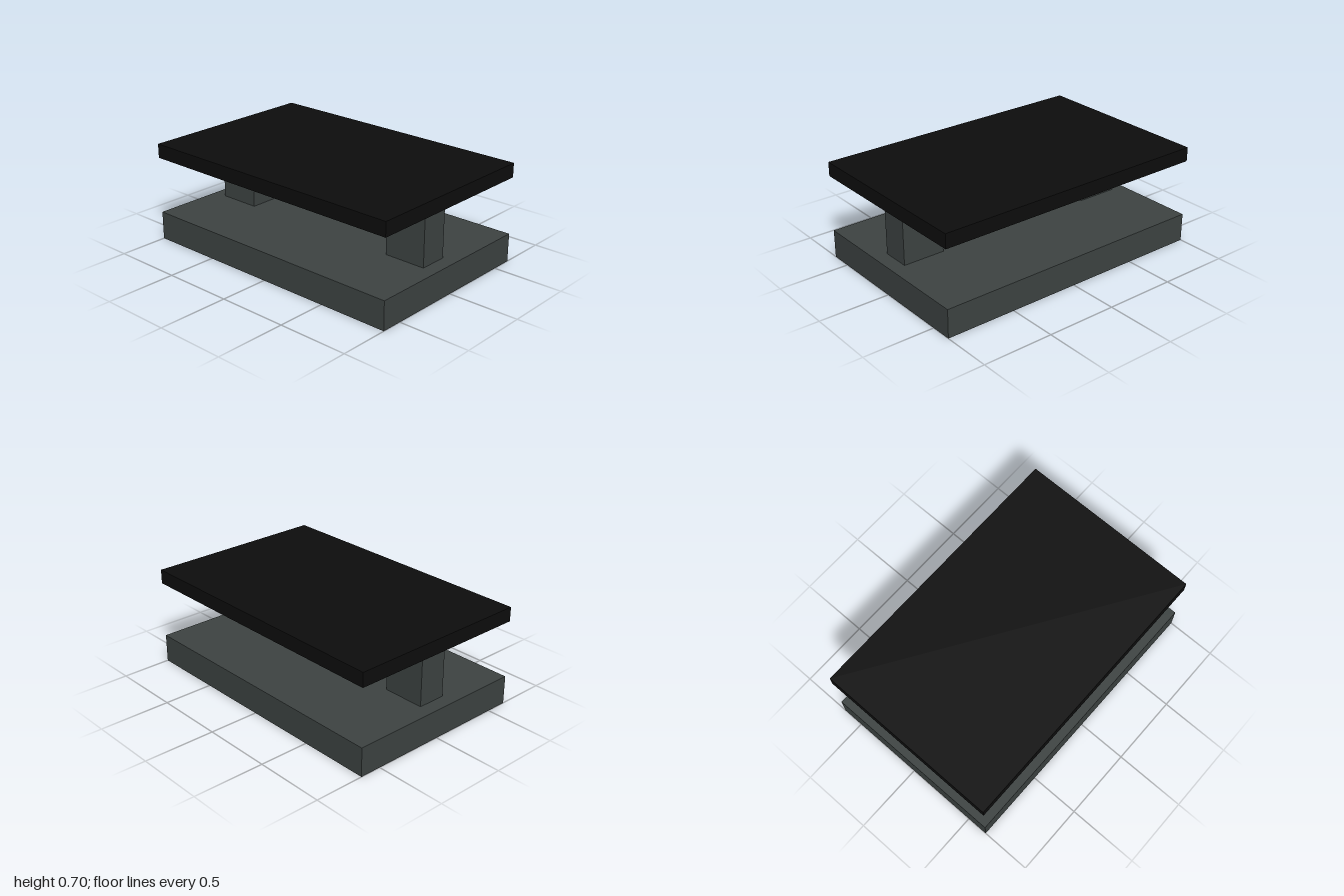
import * as THREE from 'three';

export function createModel() {
  const model = new THREE.Group();
  const gray = new THREE.MeshStandardMaterial({ color: 0x3d4342 });
  gray.name = 'dark gray';
  const black = new THREE.MeshStandardMaterial({ color: 0x0d0d0d });
  black.name = 'black';

  // Adds a box whose underside sits at height y
  function addBox(name, material, [w, h, d], [x, y, z]) {
    const mesh = new THREE.Mesh(new THREE.BoxGeometry(w, h, d), material);
    mesh.name = name;
    mesh.position.set(x, y + h / 2, z);
    model.add(mesh);
  }

  // Base slab and table top
  addBox('base', gray, [1.3, 0.2, 2], [0, 0, 0]);
  addBox('top', black, [1.3, 0.1, 2], [0, 0.6, 0]);

  // Two posts, set slightly off centre
  for (const side of [1, -1]) {
    addBox(side > 0 ? 'frontPost' : 'backPost', gray, [0.2, 0.4, 0.3], [-0.05, 0.2, side * 0.75]);
  }

  return model;
}
